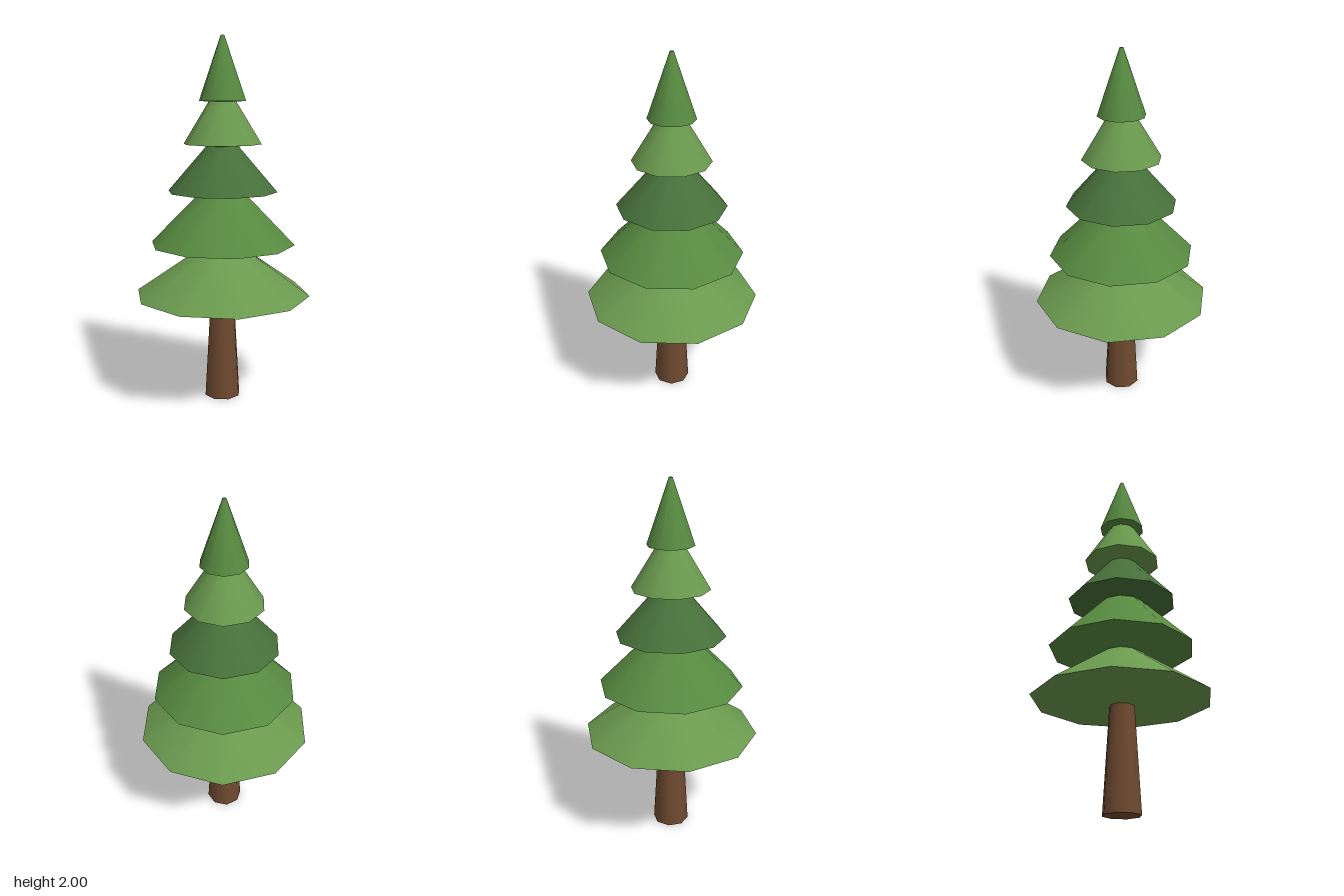
import * as THREE from 'three';

const LIGHT = 0x6a994e, MID = 0x578a40, DARK = 0x47703a, BROWN = 0x6f4a30;

// Each tier: rim radius, rim height, underside height, top radius, top height, colour
const TIERS = [
  [0.487, 0.595, 0.56, 0.1, 0.865, LIGHT],
  [0.4, 0.88, 0.857, 0.12, 1.165, MID],
  [0.302, 1.17, 1.153, 0.085, 1.42, DARK],
  [0.214, 1.428, 1.415, 0.075, 1.655, LIGHT],
  [0.128, 1.658, 1.651, 0.01, 2, MID],
];

// Upright frustum running from height y0 to y1
function frustum(name, r0, y0, r1, y1, sides, color, openEnded) {
  const geometry = new THREE.CylinderGeometry(r1, r0, y1 - y0, sides, 1, openEnded);
  geometry.translate(0, (y0 + y1) / 2, 0);
  const mesh = new THREE.Mesh(geometry, new THREE.MeshStandardMaterial({ color }));
  mesh.name = name;
  return mesh;
}

export function createModel() {
  const tree = new THREE.Group();
  tree.name = 'pineTree';

  // Tapered trunk, ending inside the lowest tier
  tree.add(frustum('trunk', 0.102, 0, 0.067, 0.6, 8, BROWN, false));

  // Ten-sided foliage tiers: sloping skirt above, shallow cone beneath
  TIERS.forEach(([rim, rimY, underY, top, topY, color], i) => {
    const tier = new THREE.Group();
    tier.name = `foliageTier${i + 1}`;
    tier.add(frustum('skirt', rim, rimY, top, topY, 10, color, true));
    tier.add(frustum('underside', 0.05, underY, rim, rimY, 10, color, true));
    tree.add(tier);
  });

  // Small cap closing the tip
  const cap = new THREE.Mesh(
    new THREE.CircleGeometry(0.01, 10, Math.PI / 2).rotateX(-Math.PI / 2).translate(0, 2, 0),
    new THREE.MeshStandardMaterial({ color: MID })
  );
  cap.name = 'tipCap';
  tree.add(cap);

  return tree;
}
